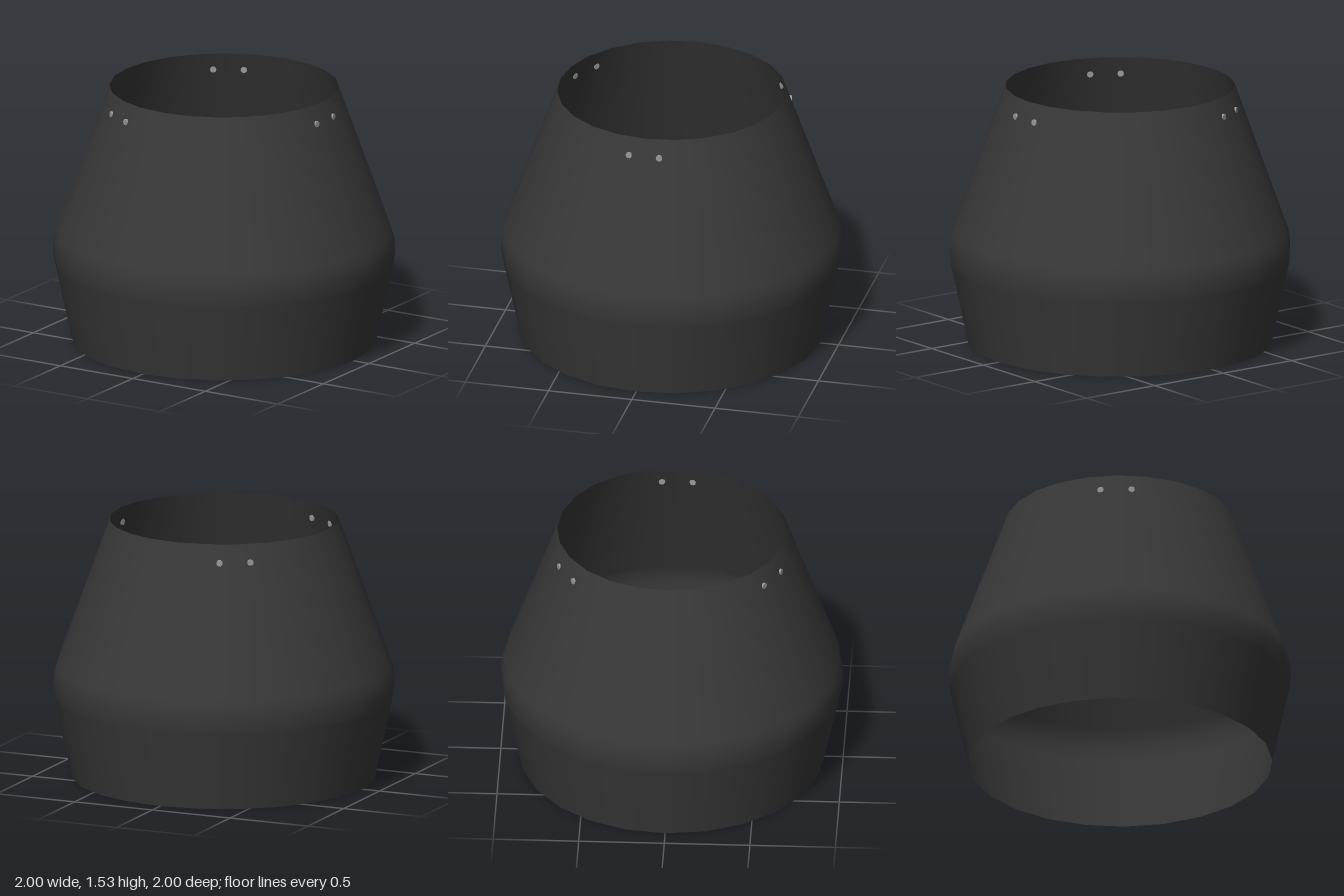
import * as THREE from 'three';

export function createModel() {
  const model = new THREE.Group();
  model.name = 'openShade';

  const shellMat = new THREE.MeshStandardMaterial({ color: 0x383838, side: THREE.DoubleSide });
  shellMat.name = 'charcoal';
  const rivetMat = new THREE.MeshStandardMaterial({ color: 0x9a9a9a });
  rivetMat.name = 'rivetGrey';

  // Thin open shell: flared base, rounded shoulder, tapering upper cone
  const profile = [
    [0.89, 0], [0.991, 0.47], [0.995, 0.49], [0.999, 0.53], [1, 0.57],
    [0.997, 0.61], [0.987, 0.65], [0.98, 0.67], [0.67, 1.535],
  ].map(([r, y]) => new THREE.Vector2(r, y));
  const shell = new THREE.Mesh(new THREE.LatheGeometry(profile, 24), shellMat);
  shell.name = 'shell';
  model.add(shell);

  // Three pairs of small rivets through the wall below the upper rim
  const rivetGeo = new THREE.CylinderGeometry(0.019, 0.019, 0.013, 10);
  rivetGeo.rotateZ(-Math.PI / 2);
  const offset = THREE.MathUtils.degToRad(7.4);
  for (let i = 0; i < 3; i++) {
    const pair = new THREE.Group();
    pair.name = 'rivetPair';
    for (const side of [-1, 1]) {
      const a = (i * Math.PI * 2) / 3 + side * offset;
      const rivet = new THREE.Mesh(rivetGeo, rivetMat);
      rivet.name = 'rivet';
      rivet.position.set(Math.cos(a) * 0.701, 1.43, Math.sin(a) * 0.701);
      rivet.rotation.y = -a;
      pair.add(rivet);
    }
    model.add(pair);
  }
  return model;
}
